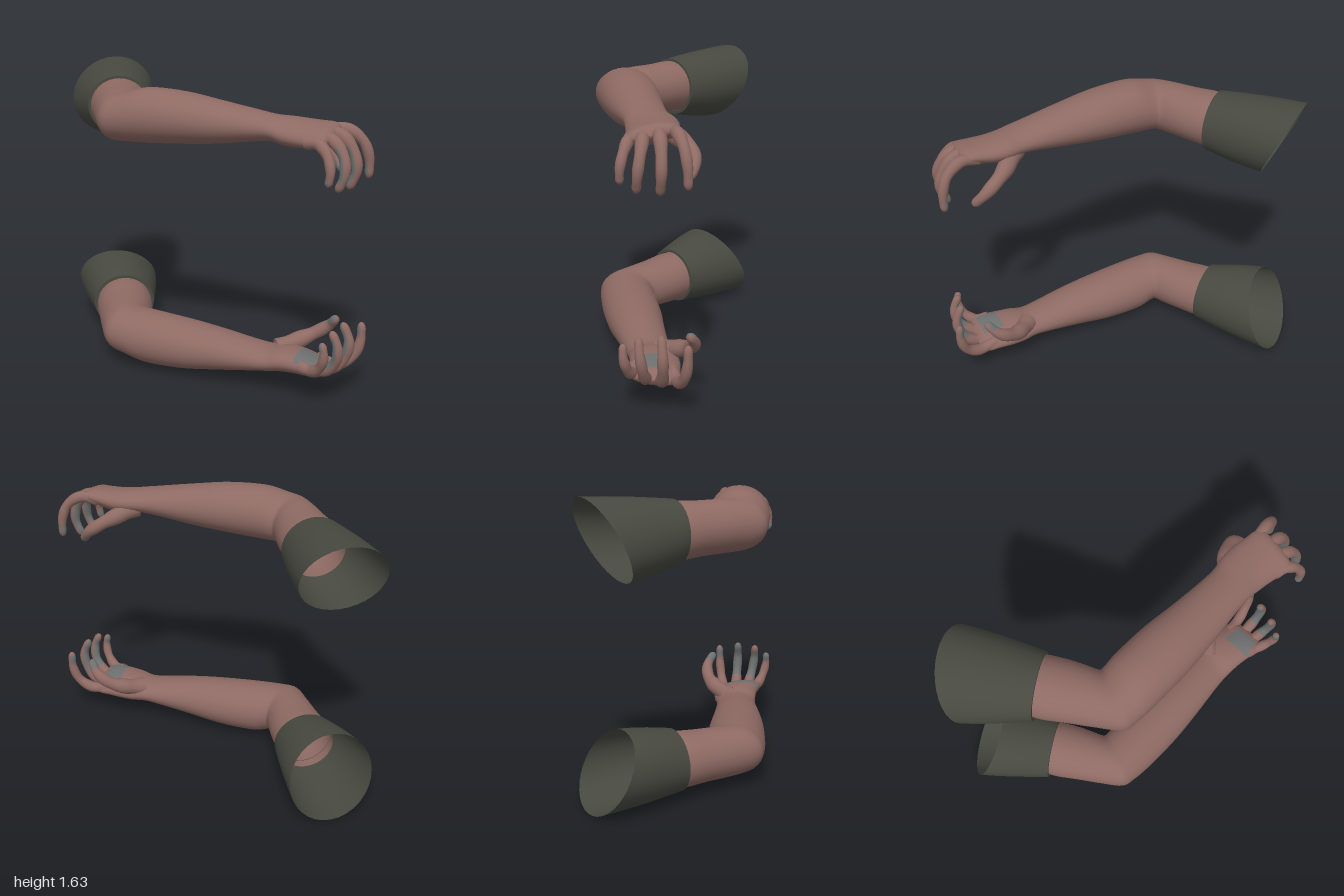
import * as THREE from 'three';

const V = (x, y, z) => new THREE.Vector3(x, y, z);
const HEIGHT = 1.63;

// Skin loop through elliptical rings {c, u, v}; accent(t, angle) picks faces for the second material.
function loft(rings, sides, mirrored, accent = () => false) {
  const pos = [], base = [], extra = [];
  for (const { c, u, v } of rings) {
    for (let j = 0; j < sides; j++) {
      const a = (j / sides) * Math.PI * 2;
      const p = c.clone().addScaledVector(u, Math.cos(a)).addScaledVector(v, Math.sin(a));
      pos.push(p.x, mirrored ? HEIGHT - p.y : p.y, p.z);
    }
  }
  for (let i = 0; i < rings.length - 1; i++) {
    for (let j = 0; j < sides; j++) {
      const k = (j + 1) % sides;
      const a = i * sides + j, b = i * sides + k, c = a + sides, d = b + sides;
      const list = accent((i + 0.5) / (rings.length - 1), ((j + 0.5) / sides) * Math.PI * 2) ? extra : base;
      if (mirrored) list.push(a, c, b, b, c, d);
      else list.push(a, b, c, b, d, c);
    }
  }
  const g = new THREE.BufferGeometry();
  g.setAttribute('position', new THREE.Float32BufferAttribute(pos, 3));
  g.setIndex([...base, ...extra]);
  g.addGroup(0, base.length, 0);
  if (extra.length) g.addGroup(base.length, extra.length, 1);
  g.computeVertexNormals();
  return g;
}

// Arm sections: inner x, z, outer x, z, bottom y, top y, tilt
const ARM = [
  [-0.47, -0.16, -0.74, 0.0, 1.28, 1.575, 0],
  [-0.42, -0.09, -0.69, 0.1, 1.28, 1.58, 0],
  [-0.37, 0.0, -0.62, 0.2, 1.29, 1.575, 0],
  [-0.335, 0.08, -0.53, 0.33, 1.295, 1.575, 0],
  [-0.31, 0.135, -0.45, 0.435, 1.3, 1.57, 0],
  [-0.28, 0.142, -0.37, 0.458, 1.305, 1.58, 0],
  [-0.2, 0.14, -0.22, 0.468, 1.31, 1.607, 0],
  [0, 0.145, 0, 0.466, 1.325, 1.6, 0],
  [0.2, 0.165, 0.2, 0.45, 1.345, 1.57, 0],
  [0.4, 0.18, 0.4, 0.427, 1.375, 1.537, 0],
  [0.5, 0.18, 0.5, 0.42, 1.387, 1.52, 0],
  [0.58, 0.165, 0.58, 0.425, 1.375, 1.512, 0.01],
  [0.66, 0.165, 0.66, 0.435, 1.375, 1.505, 0.015],
  [0.74, 0.18, 0.74, 0.452, 1.385, 1.5, 0.02],
  [0.8, 0.19, 0.79, 0.455, 1.4, 1.497, 0.02],
  [0.835, 0.22, 0.82, 0.43, 1.425, 1.48, 0.02],
  [0.845, 0.31, 0.845, 0.33, 1.447, 1.453, 0],
];

function armRings() {
  const inner = new THREE.CatmullRomCurve3(ARM.map(k => V(k[0], 0, k[1])), false, 'catmullrom');
  const outer = new THREE.CatmullRomCurve3(ARM.map(k => V(k[2], 0, k[3])), false, 'catmullrom');
  const rise = new THREE.CatmullRomCurve3(ARM.map(k => V(k[4], k[5], k[6])), false, 'catmullrom');
  const rings = [], n = (ARM.length - 1) * 5;
  for (let i = 0; i <= n; i++) {
    const a = inner.getPoint(i / n), b = outer.getPoint(i / n), y = rise.getPoint(i / n);
    const c = a.clone().add(b).multiplyScalar(0.5).setY((y.x + y.y) / 2);
    const u = a.clone().sub(b).multiplyScalar(0.5).setY(y.z);
    rings.push({ c, u, v: V(0, (y.y - y.x) / 2, 0) });
  }
  return rings;
}

// Digits: centre line, root and tip radius, stretch of grey on the palm side
const DIGITS = [
  { name: 'indexFinger', r: [0.036, 0.022], grey: [0.72, 0.9],
    path: [[0.75, 1.45, 0.228], [0.86, 1.46, 0.215], [0.94, 1.405, 0.2], [0.973, 1.32, 0.19], [0.975, 1.21, 0.187]] },
  { name: 'middleFinger', r: [0.037, 0.023], grey: [0.35, 1],
    path: [[0.75, 1.45, 0.3], [0.85, 1.45, 0.3], [0.92, 1.38, 0.305], [0.945, 1.28, 0.31], [0.905, 1.175, 0.31]] },
  { name: 'ringFinger', r: [0.036, 0.022], grey: [0.3, 0.8],
    path: [[0.74, 1.44, 0.365], [0.835, 1.435, 0.38], [0.905, 1.36, 0.405], [0.915, 1.27, 0.42], [0.88, 1.185, 0.42]] },
  { name: 'littleFinger', r: [0.034, 0.02], grey: [0.75, 1],
    path: [[0.72, 1.42, 0.415], [0.79, 1.42, 0.442], [0.845, 1.37, 0.475], [0.867, 1.3, 0.495], [0.855, 1.225, 0.495]] },
  { name: 'thumb', r: [0.055, 0.024], grey: [0.75, 1],
    path: [[0.53, 1.42, 0.25], [0.62, 1.385, 0.165], [0.7, 1.345, 0.12], [0.775, 1.29, 0.113], [0.83, 1.22, 0.155]] },
];

function digitRings({ path, r }) {
  const curve = new THREE.CatmullRomCurve3(path.map(p => V(...p)));
  const rings = [], n = 32;
  for (let i = 0; i <= n; i++) {
    const t = 1 - (1 - i / n) ** 1.3; // closer rings near the rounded tip
    const d = curve.getTangentAt(t);
    const u = V(0, 0, -1).addScaledVector(d, d.z).normalize();
    const v = d.clone().cross(u);
    const round = t > 0.9 ? Math.sqrt(Math.max(0, 1 - ((t - 0.9) / 0.1) ** 2)) : 1;
    const knuckle = 1 + 0.06 * Math.cos(t * Math.PI * 6);
    const size = THREE.MathUtils.lerp(r[0], r[1], t) * knuckle * Math.max(round, 0.02);
    rings.push({ c: curve.getPointAt(t), u: u.multiplyScalar(size), v: v.multiplyScalar(size) });
  }
  return rings;
}

// Sleeve: wide slanted shoulder opening narrowing to the cuff
const OPENING = { c: V(-0.8, 1.415, -0.36), u: V(0.203, 0, -0.134), v: V(-0.03, 0.215, -0.095) };
const CUFF = { c: V(-0.573, 1.425, -0.025), u: V(0.153, 0, -0.095), v: V(0, 0.168, 0) };

function sleeveRings() {
  const rings = [];
  for (let i = 0; i <= 10; i++) {
    const t = i / 10, swell = 1 + 0.03 * Math.sin(t * Math.PI);
    rings.push({
      c: OPENING.c.clone().lerp(CUFF.c, t),
      u: OPENING.u.clone().lerp(CUFF.u, t).multiplyScalar(swell),
      v: OPENING.v.clone().lerp(CUFF.v, t).multiplyScalar(swell),
    });
  }
  return rings;
}

function hemRings() {
  return [1, 0.9].map(s => ({ c: CUFF.c, u: CUFF.u.clone().multiplyScalar(s), v: CUFF.v.clone().multiplyScalar(s) }));
}

export function createModel() {
  const skin = new THREE.MeshStandardMaterial({ color: 0x8e6a63, side: THREE.DoubleSide });
  skin.name = 'skin';
  const grey = new THREE.MeshStandardMaterial({ color: 0x6e7070, side: THREE.DoubleSide });
  grey.name = 'palmGrey';
  const cloth = new THREE.MeshStandardMaterial({ color: 0x474940, side: THREE.DoubleSide });
  cloth.name = 'sleeveCloth';

  const model = new THREE.Group();
  model.name = 'armPair';
  for (const mirrored of [false, true]) {
    const arm = new THREE.Group();
    arm.name = mirrored ? 'palmUpArm' : 'palmDownArm';
    const add = (name, geometry, material) => {
      const mesh = new THREE.Mesh(geometry, material);
      mesh.name = name;
      arm.add(mesh);
    };
    const palm = (t, a) => t > 0.76 && t < 0.88 && Math.sin(a) < -0.45 && Math.cos(a) < 0.4;
    add('forearmAndHand', loft(armRings(), 32, mirrored, palm), [skin, grey]);
    for (const digit of DIGITS) {
      const [from, to] = digit.grey;
      const pad = (t, a) => t > from && t < to && Math.sin(a) < -0.1;
      add(digit.name, loft(digitRings(digit), 16, mirrored, pad), [skin, grey]);
    }
    add('sleeve', loft(sleeveRings(), 32, mirrored), cloth);
    add('cuffHem', loft(hemRings(), 32, mirrored), cloth);
    model.add(arm);
  }
  return model;
}
